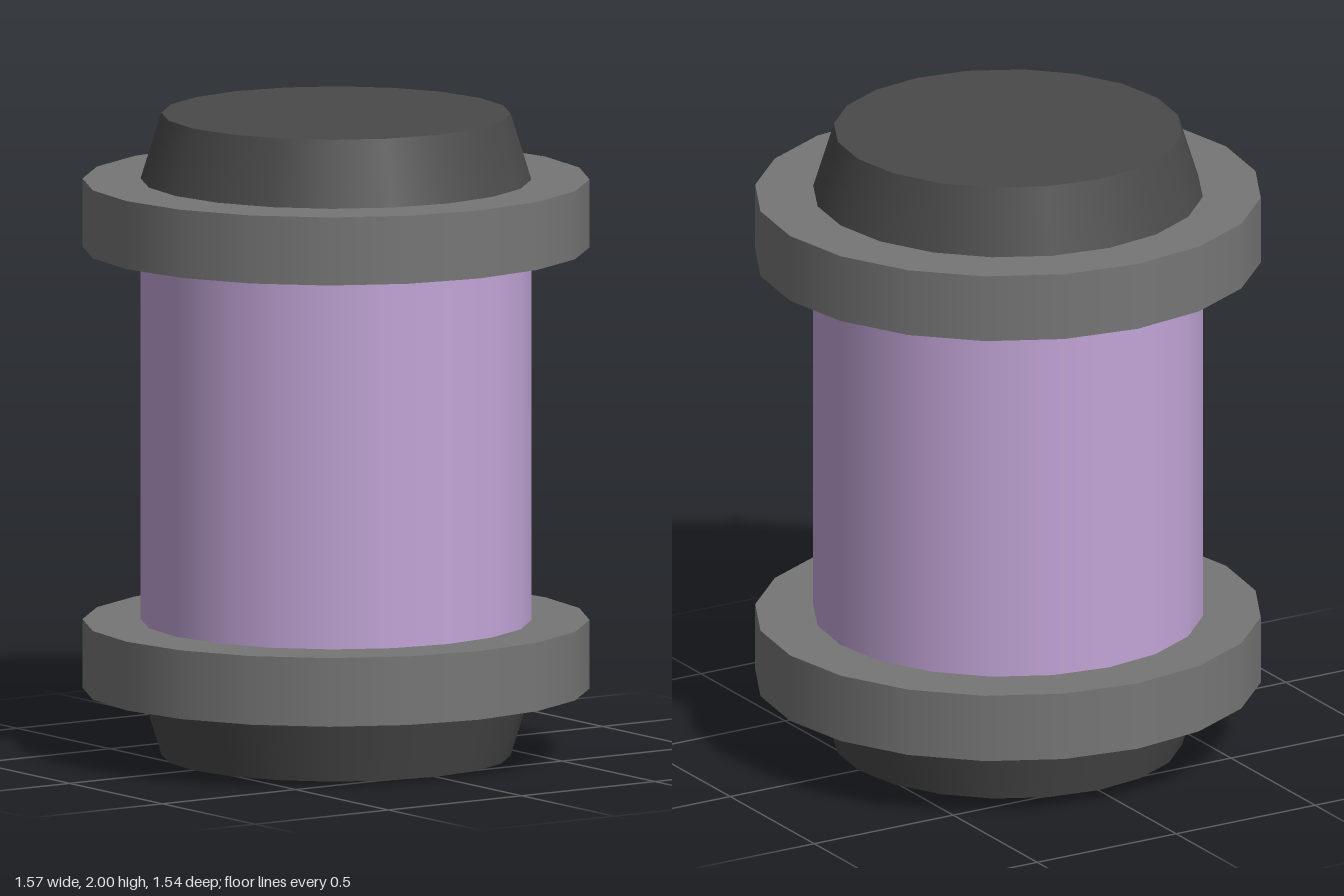
import * as THREE from 'three';

const SIDES = 20;

function material(name, color) {
  const m = new THREE.MeshStandardMaterial({ color, side: THREE.DoubleSide });
  m.name = name;
  return m;
}

export function createModel() {
  const model = new THREE.Group();
  model.name = 'canister';
  const purple = material('lilac', 0xc2a5d7);
  const grey = material('midGrey', 0x767676);
  const dark = material('darkGrey', 0x4a4a4a);

  function add(parent, name, geometry, mat, y) {
    const mesh = new THREE.Mesh(geometry, mat);
    mesh.name = name;
    mesh.position.y = y;
    parent.add(mesh);
    return mesh;
  }

  // Open-ended tube or cone between two heights
  function wall(parent, name, rBottom, rTop, y0, y1, mat) {
    const g = new THREE.CylinderGeometry(rTop, rBottom, y1 - y0, SIDES, 1, true);
    return add(parent, name, g, mat, (y0 + y1) / 2);
  }

  // Body
  wall(model, 'body', 0.602, 0.602, 0.42, 1.585, purple);

  // Collars: outer wall and flat top, open underneath
  for (const [name, y0, y1] of [['lowerCollar', 0.208, 0.422], ['upperCollar', 1.583, 1.795]]) {
    const collar = new THREE.Group();
    collar.name = name;
    collar.scale.z = 0.984;
    wall(collar, name + 'Wall', 0.785, 0.785, y0, y1, grey);
    const top = new THREE.RingGeometry(0.602, 0.785, SIDES).rotateX(-Math.PI / 2);
    add(collar, name + 'Top', top, grey, y1);
    model.add(collar);
  }

  // Tapered ends: the lower one is open, the upper one has a lid
  wall(model, 'lowerCap', 0.538, 0.602, 0, 0.208, dark);
  wall(model, 'upperCap', 0.602, 0.538, 1.795, 2, dark);
  add(model, 'lid', new THREE.CircleGeometry(0.538, SIDES).rotateX(-Math.PI / 2), dark, 2);

  return model;
}
